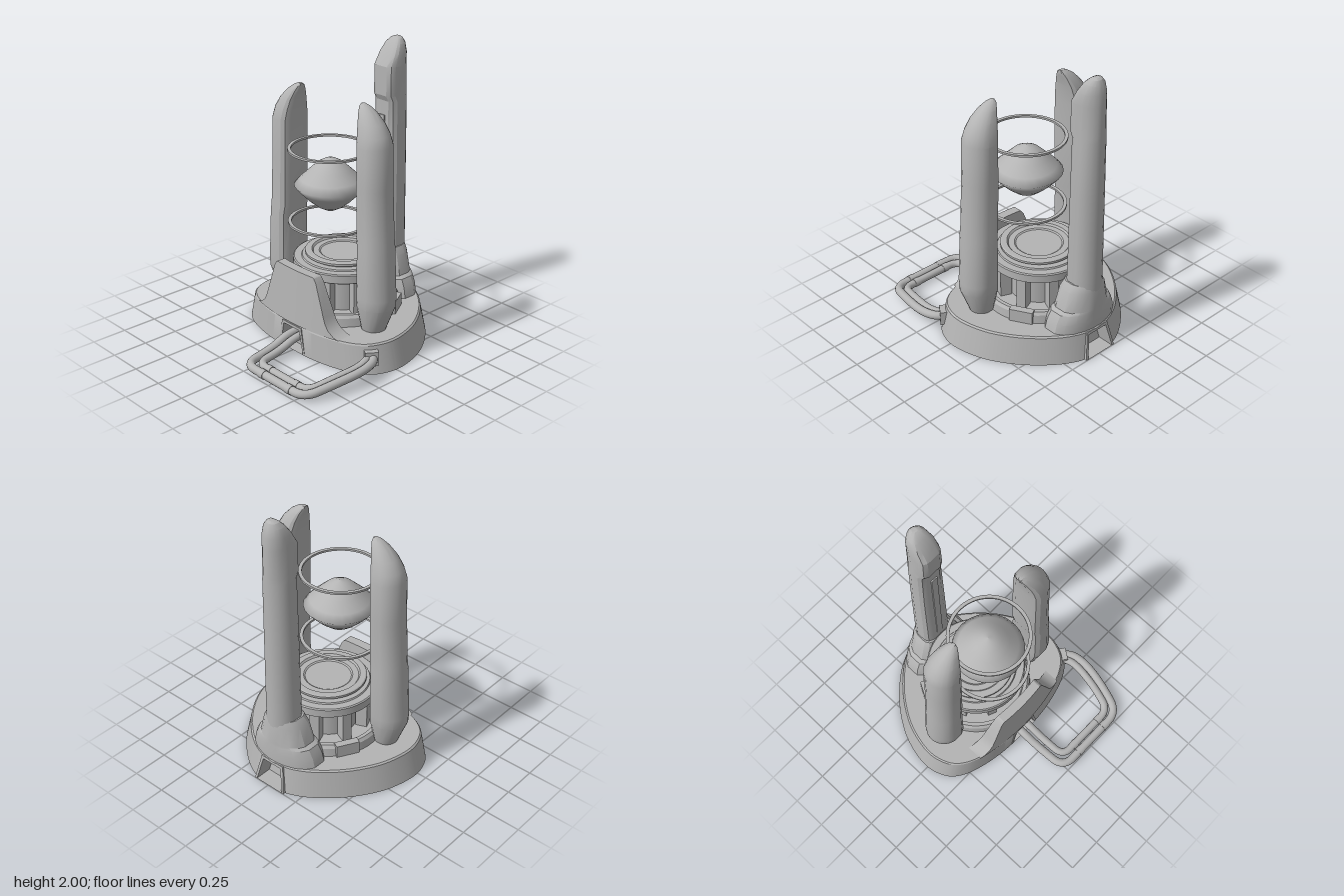
import * as THREE from 'three';
import { toCreasedNormals } from 'three/addons/utils/BufferGeometryUtils.js';

const grey = new THREE.MeshStandardMaterial({ color: 0xb4b4b4, side: THREE.DoubleSide });
grey.name = 'grey';

function add(parent, name, geometry, x = 0, y = 0, z = 0) {
  const mesh = new THREE.Mesh(geometry, grey);
  mesh.name = name;
  mesh.position.set(x, y, z);
  parent.add(mesh);
  return mesh;
}

const softLathe = (pts, n) => new THREE.LatheGeometry(pts.map(p => new THREE.Vector2(...p)), n);
const lathe = (pts, n = 64) => toCreasedNormals(softLathe(pts, n), 0.5);

// Skin closed counter-clockwise rings of [x, y, z], optionally capped
function skin(rings, capped = true) {
  const n = rings[0].length, pos = rings.flat(2), index = [];
  for (let i = 0; i < rings.length - 1; i++) {
    for (let j = 0; j < n; j++) {
      const k = (j + 1) % n, a = i * n + j, b = i * n + k;
      index.push(a, b, b + n, a, b + n, a + n);
    }
  }
  if (capped) {
    const top = (rings.length - 1) * n;
    for (let j = 1; j < n - 1; j++) index.push(top, top + j, top + j + 1, 0, j + 1, j);
  }
  const g = new THREE.BufferGeometry();
  g.setAttribute('position', new THREE.Float32BufferAttribute(pos, 3));
  g.setIndex(index);
  return toCreasedNormals(g, 0.45);
}

// Flat inner face, chamfer, rounded outer side; u runs inner to outer, v across
const half = [[0, 0.55], [0.08, 0.86], [0.22, 1], [0.55, 1], [0.73, 0.87], [0.87, 0.65], [0.96, 0.38], [1, 0.13]];
const section = [...half, ...half.slice().reverse().map(([u, v]) => [u, -v])];

// Rows are [height, inner reach, outer reach, half width]
const pillar = rows => skin(rows.map(([y, near, far, w]) =>
  section.map(([u, v]) => [near + (far - near) * u, y, v * w])));

const sideRows = [
  [0.202, 0.36, 0.5, 0.08], [0.38, 0.345, 0.57, 0.125], [0.45, 0.345, 0.57, 0.128],
  [0.8, 0.345, 0.55, 0.124], [0.86, 0.335, 0.545, 0.12], [1.2, 0.33, 0.525, 0.119],
  [1.48, 0.325, 0.52, 0.116], [1.55, 0.318, 0.5, 0.103], [1.62, 0.308, 0.457, 0.083],
  [1.68, 0.293, 0.4, 0.056], [1.715, 0.283, 0.35, 0.032], [1.73, 0.285, 0.315, 0.012],
];
const backRows = [
  [0.3, 0.49, 0.7, 0.115], [0.6, 0.5, 0.7, 0.11], [1.2, 0.505, 0.695, 0.104],
  [1.58, 0.505, 0.695, 0.096], [1.62, 0.485, 0.695, 0.094], [1.82, 0.485, 0.693, 0.09],
  [1.9, 0.53, 0.69, 0.083], [1.96, 0.57, 0.68, 0.064], [1.99, 0.6, 0.665, 0.04], [2, 0.62, 0.65, 0.018],
];
const footRows = [
  [0.202, 0.43, 0.71, 0.265], [0.27, 0.435, 0.71, 0.25], [0.33, 0.445, 0.705, 0.22],
  [0.345, 0.455, 0.705, 0.19], [0.48, 0.468, 0.7, 0.15], [0.53, 0.485, 0.69, 0.12],
];

// Egg-shaped hollow base with a notch at front and back
function addBase(root) {
  const right = [[0, 0.325], [0.2, 0.318], [0.38, 0.285], [0.52, 0.235], [0.61, 0.165], [0.662, 0.05], [0.668, -0.06],
    [0.62, -0.25], [0.53, -0.41], [0.41, -0.55], [0.26, -0.67], [0.13, -0.73], [0, -0.75]];
  const loop = [...right, ...right.slice(1, -1).reverse().map(([x, z]) => [-x, z])];
  const curve = new THREE.CatmullRomCurve3(loop.map(([x, z]) => new THREE.Vector3(x, 0, z)), true);
  const outline = curve.getSpacedPoints(320).slice(0, -1);
  const at = (p, y) => {
    const t = y / 0.2;
    return [p.x * (1 - 0.075 * t), y, p.z * (1 - (p.z > 0 ? 0.02 : 0.05) * t)];
  };
  const notch = p => THREE.MathUtils.clamp((0.12 - Math.abs(p.x)) / 0.035, 0, 1) * 0.175;
  const rim = p => { const q = at(p, 0.2); return [q[0] * 0.985, 0.2, q[2] * 0.985]; };
  add(root, 'baseWall', skin([
    outline.map(p => at(p, notch(p))), outline.map(p => at(p, 0.19)), outline.map(rim)], false));

  // Deck with two small triangular openings beside the rear tower
  const deck = new THREE.Shape(outline.map(p => { const q = rim(p); return new THREE.Vector2(q[0], -q[2]); }));
  for (const s of [-1, 1]) {
    deck.holes.push(new THREE.Path([[0.372, 0.523], [0.26, 0.5], [0.275, 0.46]]
      .map(([x, y]) => new THREE.Vector2(s * x, y))));
  }
  add(root, 'deck', new THREE.ShapeGeometry(deck).rotateX(-Math.PI / 2), 0, 0.2, 0);

  // Trapezoid frames and closed recesses in the notches, the rear one leaning with the wall
  const trapezoid = (Kind, b, t, h) => new Kind([[-b, 0.002], [b, 0.002], [t, h], [-t, h]].map(p => new THREE.Vector2(...p)));
  const frame = trapezoid(THREE.Shape, 0.13, 0.095, 0.192);
  frame.holes.push(trapezoid(THREE.Path, 0.112, 0.078, 0.172));
  const backing = trapezoid(THREE.Shape, 0.125, 0.09, 0.185);
  for (const [name, z, depth, backZ, slope] of [['front', 0.235, 0.09, 0.236, 0], ['rear', -0.75, 0.12, -0.631, 0.2]]) {
    const lean = new THREE.Matrix4().makeShear(0, 0, 0, slope, 0, 0);
    const liner = new THREE.ExtrudeGeometry(frame, { depth, bevelEnabled: false });
    add(root, name + 'NotchFrame', liner.applyMatrix4(lean), 0, 0, z);
    add(root, name + 'NotchBacking', new THREE.ShapeGeometry(backing).applyMatrix4(lean), 0, 0, backZ);
  }
}

// Curved trapezoid shield on the front edge, widening into a flared foot
function addShield(root) {
  const rows = [[0.4, 0.202], [0.365, 0.215], [0.32, 0.25], [0.295, 0.29], [0.28, 0.33], [0.205, 0.55], [0.185, 0.58], [0.175, 0.585]];
  const steps = Array.from({ length: 17 }, (_, i) => i / 8 - 1);
  add(root, 'frontShield', skin(rows.map(([w, y]) => {
    const t = (y - 0.2) / 0.385;
    const row = (u, z) => [u * w, y, z - 0.32 * (u * w) ** 2];
    return [...steps.map(u => row(u, 0.325 - 0.025 * t)),
      ...steps.map(u => row(-u, 0.21 + 0.025 * t))];
  })));
}

// Round platform on struts
function addPlatform(root) {
  const g = new THREE.Group();
  g.name = 'platform';
  g.position.z = -0.15;
  root.add(g);
  add(g, 'collar', lathe([[0.385, 0.2], [0.38, 0.26], [0.365, 0.28], [0.34, 0.28], [0.33, 0.235], [0, 0.235]]));
  add(g, 'core', new THREE.CylinderGeometry(0.2, 0.2, 0.26, 40, 1, true), 0, 0.363, 0);
  add(g, 'disc', lathe([[0, 0.49], [0.332, 0.49], [0.342, 0.497], [0.342, 0.553], [0.334, 0.56], [0.285, 0.56],
    [0.28, 0.57], [0.235, 0.57], [0.235, 0.582], [0.26, 0.585], [0.26, 0.6], [0.252, 0.605], [0.215, 0.605],
    [0.205, 0.592], [0.165, 0.592], [0.155, 0.585], [0, 0.585]]));
  for (let i = 0; i < 8; i++) {
    const a = (i + 0.5) * Math.PI / 4;
    const strut = add(g, 'strut', new THREE.BoxGeometry(0.065, 0.26, 0.08), 0.245 * Math.sin(a), 0.363, 0.245 * Math.cos(a));
    strut.rotation.y = a;
  }
  for (const s of [-1, 1]) {
    const a = s * 2.08;
    const lug = add(g, 'collarLug', new THREE.BoxGeometry(0.16, 0.09, 0.05), 0.37 * Math.sin(a), 0.247, 0.37 * Math.cos(a));
    lug.rotation.y = a;
  }
}

// Tube along a path whose corners are rounded
function pipe(points, round, radius) {
  const v = points.map(p => new THREE.Vector3(...p));
  const path = new THREE.CurvePath();
  let from = v[0];
  for (let i = 1; i < v.length - 1; i++) {
    const toward = q => {
      const d = q.clone().sub(v[i]);
      return v[i].clone().add(d.setLength(Math.min(round, d.length() * 0.48)));
    };
    const a = toward(v[i - 1]), b = toward(v[i + 1]);
    path.add(new THREE.LineCurve3(from, a));
    path.add(new THREE.QuadraticBezierCurve3(a, v[i], b));
    from = b;
  }
  path.add(new THREE.LineCurve3(from, v[v.length - 1]));
  return new THREE.TubeGeometry(path, 140, radius, 14, false);
}

export function createModel() {
  const model = new THREE.Group();
  model.name = 'crystalPedestal';
  const root = new THREE.Group();
  root.name = 'body';
  root.position.x = -0.01;
  model.add(root);

  addBase(root);
  addShield(root);
  addPlatform(root);

  // Two clawed side towers and a taller rear one with a foot and a slim inner rail
  for (const [name, turn] of [['leftTower', 0], ['rightTower', Math.PI], ['rearTower', Math.PI / 2]]) {
    const rear = name === 'rearTower';
    const tower = new THREE.Group();
    tower.name = name;
    tower.position.z = rear ? 0 : -0.035;
    tower.rotation.y = turn;
    root.add(tower);
    add(tower, 'shaft', pillar(rear ? backRows : sideRows));
    if (rear) {
      add(tower, 'foot', pillar(footRows));
      add(tower, 'innerRail', new THREE.BoxGeometry(0.02, 0.9, 0.05), 0.506, 1.03, 0);
    }
  }

  // Floating crystal between two hoops
  add(root, 'crystal', softLathe([[0, 0.912], [0.03, 0.922], [0.09, 0.955], [0.15, 1.005], [0.2, 1.055], [0.242, 1.103],
    [0.2, 1.148], [0.14, 1.205], [0.09, 1.252], [0.04, 1.28], [0, 1.29]], 24), 0, 0, -0.03);
  const hoop = lathe([[0.252, -0.007], [0.275, -0.007], [0.275, 0.007], [0.252, 0.007], [0.252, -0.007]], 80);
  add(root, 'lowerHoop', hoop, 0, 0.845, -0.02);
  add(root, 'upperHoop', hoop, 0, 1.355, -0.02);

  // Twin pipes looping from the front notch to the side connector
  add(root, 'outerPipe', pipe([[-0.03, 0.11, 0.22], [-0.03, 0.105, 0.34], [-0.022, 0.055, 0.48], [-0.005, 0.035, 0.718],
    [0.57, 0.035, 0.718], [0.635, 0.08, 0.51], [0.67, 0.105, 0.32], [0.65, 0.118, 0.19], [0.575, 0.115, 0.13]], 0.1, 0.029));
  add(root, 'innerPipe', pipe([[0.04, 0.11, 0.22], [0.04, 0.105, 0.34], [0.045, 0.062, 0.47], [0.055, 0.042, 0.658],
    [0.535, 0.042, 0.658], [0.585, 0.082, 0.48], [0.612, 0.1, 0.31], [0.605, 0.115, 0.22], [0.56, 0.115, 0.14]], 0.08, 0.027));
  for (const x of [0.17, 0.43]) {
    add(root, 'pipeSleeve', new THREE.CylinderGeometry(0.032, 0.032, 0.045, 16).rotateZ(Math.PI / 2), x, 0.035, 0.718);
    add(root, 'pipeSleeve', new THREE.CylinderGeometry(0.03, 0.03, 0.045, 16).rotateZ(Math.PI / 2), x, 0.042, 0.658);
  }
  add(root, 'pipeConnector', new THREE.BoxGeometry(0.095, 0.1, 0.09), 0.575, 0.115, 0.145).rotation.y = -0.6;
  return model;
}
